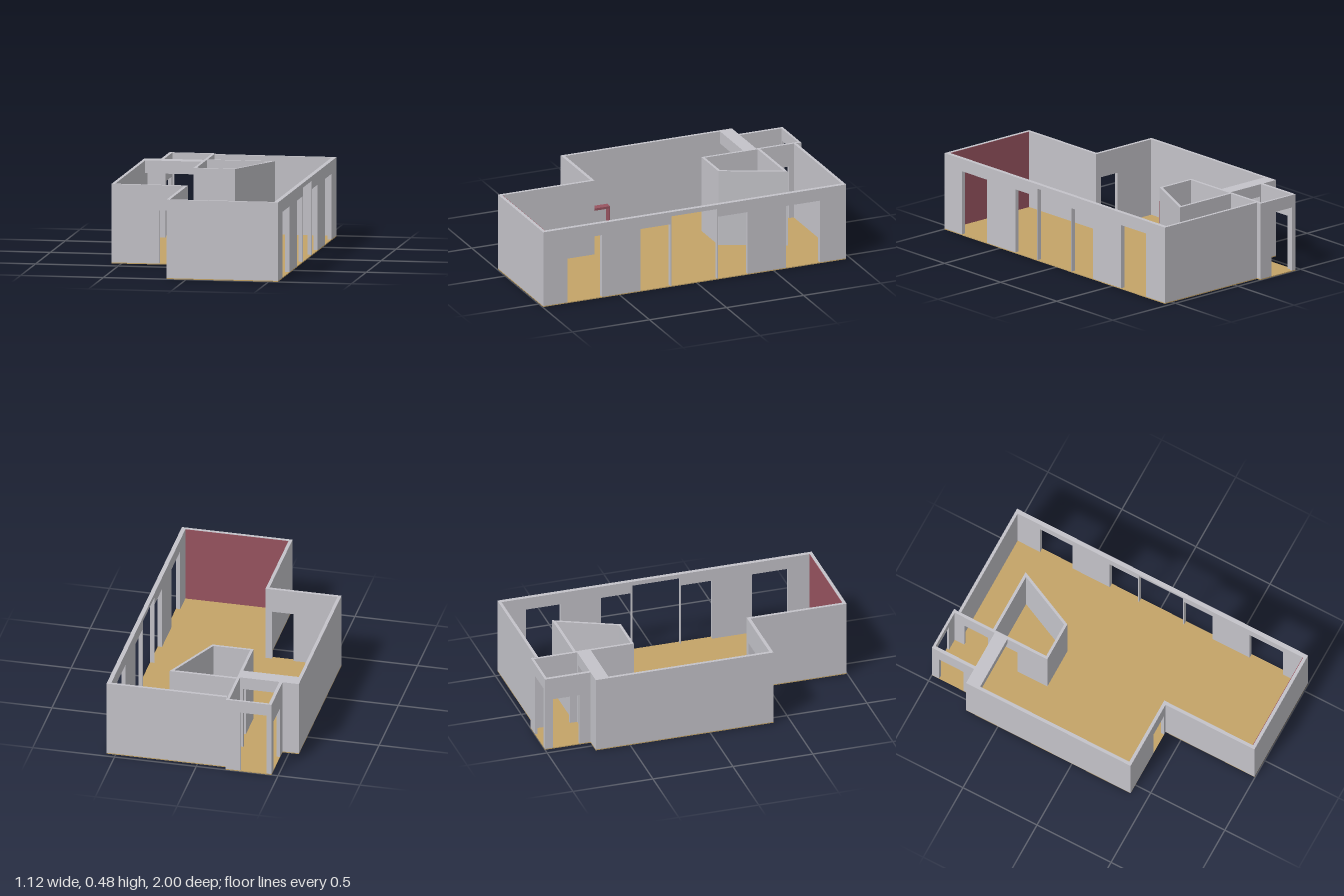
import * as THREE from 'three';

const FLOOR = 0.006, TOP = 0.477;

export function createModel() {
  const model = new THREE.Group();
  const plaster = new THREE.MeshStandardMaterial({ color: 0xc4c3c9 });
  plaster.name = 'grey plaster';
  const wood = new THREE.MeshStandardMaterial({ color: 0xc4a468 });
  wood.name = 'tan floor';
  const red = new THREE.MeshStandardMaterial({ color: 0x985460 });
  red.name = 'dusty red';

  function add(name, geometry, material) {
    const mesh = new THREE.Mesh(geometry, material);
    mesh.name = name;
    model.add(mesh);
    return mesh;
  }

  // Axis-aligned block given by its limits
  function block(name, x0, x1, y0, y1, z0, z1, material) {
    const g = new THREE.BoxGeometry(x1 - x0, y1 - y0, z1 - z0);
    g.translate((x0 + x1) / 2, (y0 + y1) / 2, (z0 + z1) / 2);
    return add(name, g, material);
  }

  // Vertical prism over a floor-plan outline of [x, z] points
  function prism(name, points, y0, y1, material) {
    const shape = new THREE.Shape(points.map(([x, z]) => new THREE.Vector2(x, z)));
    const g = new THREE.ExtrudeGeometry(shape, { depth: y1 - y0, bevelEnabled: false });
    g.rotateX(Math.PI / 2);
    g.translate(0, y1, 0);
    return add(name, g, material);
  }

  // Wall from a to b along an axis, with door openings [from, to, top] notched from below
  function wall(name, axis, a, b, side0, side1, openings = []) {
    const s = new THREE.Shape();
    s.moveTo(a, FLOOR);
    for (const [from, to, top] of openings) {
      s.lineTo(from, FLOOR);
      s.lineTo(from, top);
      s.lineTo(to, top);
      s.lineTo(to, FLOOR);
    }
    s.lineTo(b, FLOOR);
    s.lineTo(b, TOP);
    s.lineTo(a, TOP);
    const g = new THREE.ExtrudeGeometry(s, { depth: side1 - side0, bevelEnabled: false });
    if (axis === 'x') g.translate(0, 0, side0);
    else {
      g.rotateY(-Math.PI / 2); // length now runs along +z
      g.translate(side1, 0, 0);
    }
    return add(name, g, plaster);
  }

  // Floor slab over the whole plan
  prism('floor', [
    [-0.46, -1], [-0.18, -1], [-0.18, -0.97], [0.556, -0.97], [0.556, 0.996], [-0.12, 0.996],
    [-0.12, 0.396], [-0.56, 0.396], [-0.56, -0.715], [-0.46, -0.715],
  ], 0, FLOOR, wood);

  // Outer walls
  wall('windowWall', 'z', -0.97, 0.996, 0.53, 0.556, [
    [-0.80, -0.58, 0.40], [-0.33, -0.138, 0.40], [-0.132, 0.165, 0.45],
    [0.171, 0.365, 0.40], [0.615, 0.84, 0.40],
  ]);
  wall('backWall', 'x', -0.18, 0.53, -0.97, -0.952);
  wall('frontWall', 'x', -0.12, 0.53, 0.976, 0.996);
  wall('frontSideWall', 'z', 0.376, 0.976, -0.12, -0.1);
  wall('recessedFrontWall', 'x', -0.54, -0.12, 0.376, 0.396, [[-0.27, -0.14, 0.325]]);
  wall('sideWall', 'z', -0.715, 0.396, -0.56, -0.54);

  // Red lining inside the front wall
  block('redWallPanel', -0.1, 0.53, FLOOR, TOP - 0.001, 0.973, 0.976, red);

  // Small entrance room at the back
  wall('entranceBackWall', 'x', -0.44, -0.18, -1, -0.985, [[-0.43, -0.27, 0.40]]);
  wall('entranceSideWall', 'z', -1, -0.715, -0.46, -0.44, [[-0.95, -0.785, 0.335]]);
  wall('entranceInnerWall', 'x', -0.54, -0.2, -0.715, -0.70, [[-0.43, -0.22, 0.40]]);
  block('ceilingBeam', -0.54, -0.2, 0.40, TOP, -0.70, -0.63, plaster);

  // Partition shared by the entrance and the slanted room
  wall('partitionWall', 'z', -0.985, -0.36, -0.2, -0.183,
    [[-0.92, -0.76, 0.335], [-0.70, -0.56, 0.335]]);

  // Slanted inner room
  prism('slantedRoomWalls', [
    [-0.183, -0.735], [0.226, -0.735], [0.052, -0.36], [-0.183, -0.36],
    [-0.183, -0.376], [0.042, -0.376], [0.2, -0.718], [-0.183, -0.718],
  ], FLOOR, TOP, plaster);

  // Small bench beside the long side wall
  block('benchTop', -0.515, -0.47, 0.127, 0.141, 0.114, 0.228, red);
  for (const z of [0.114, 0.221])
    block('benchLeg', -0.515, -0.47, FLOOR, 0.127, z, z + 0.007, red);

  return model;
}
